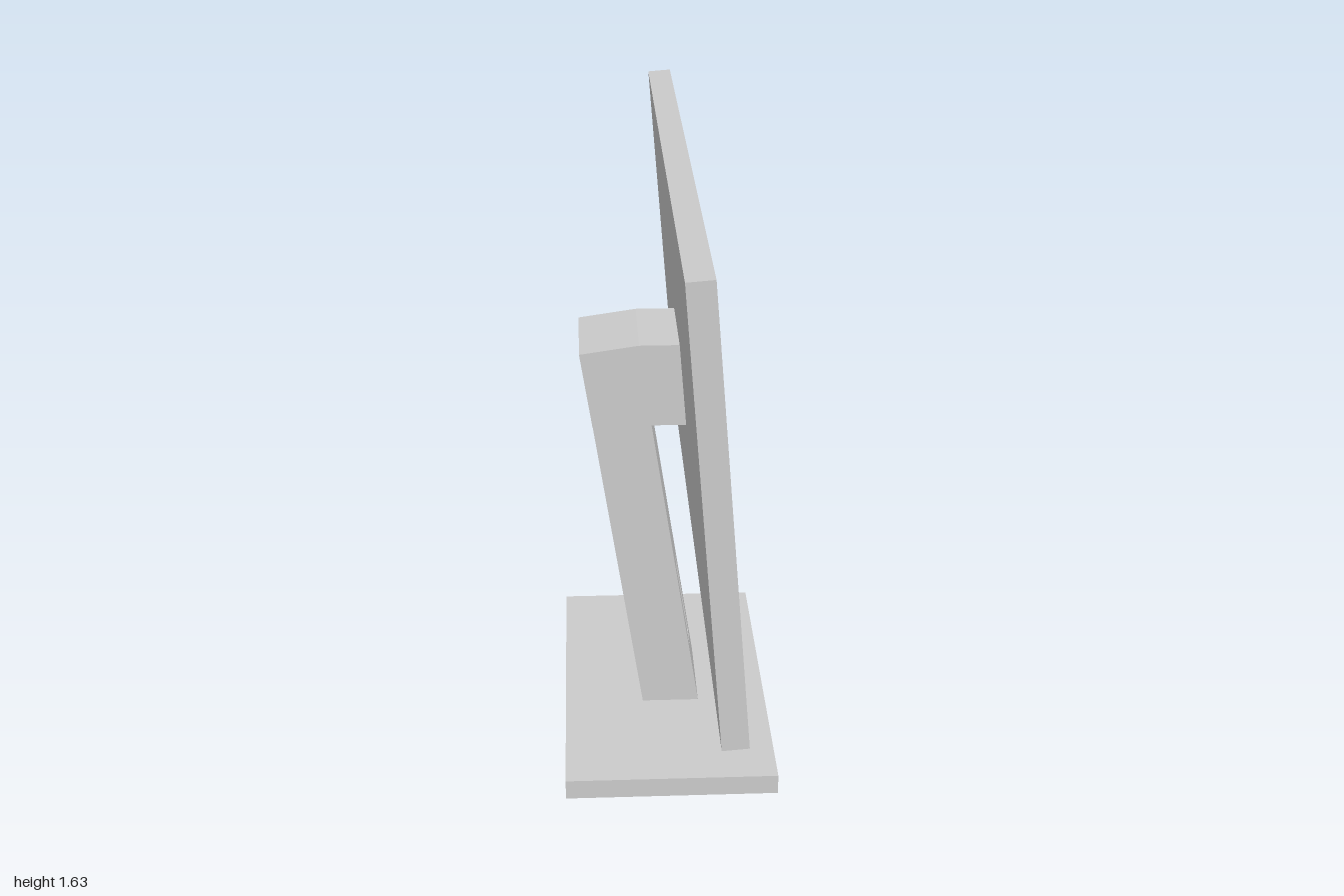
import * as THREE from 'three';

const grey = new THREE.MeshStandardMaterial({ color: 0xcccccc, flatShading: true });
const black = new THREE.MeshStandardMaterial({ color: 0x050505 });

function part(name, geometry, material = grey) {
  const mesh = new THREE.Mesh(geometry, material);
  mesh.name = name;
  return mesh;
}

const rectPoints = (x0, x1, y0, y1) =>
  [[x0, y0], [x1, y0], [x1, y1], [x0, y1]].map(([x, y]) => new THREE.Vector2(x, y));

// Rectangular plate with a rectangular opening, extruded towards +x
function plateWithOpening(outer, inner, depth) {
  const shape = new THREE.Shape(rectPoints(...outer));
  shape.holes.push(new THREE.Path(rectPoints(...inner).reverse()));
  return new THREE.ExtrudeGeometry(shape, { depth, bevelEnabled: false }).rotateY(Math.PI / 2);
}

export function createModel() {
  const model = new THREE.Group();
  const baseTop = 0.055, legTop = 0.92, halfWidth = 0.143;

  // Foot plate, set slightly to one side of the leg
  const base = part('base', new THREE.BoxGeometry(0.573, baseTop, 1.022));
  base.position.set(0, baseTop / 2, 0.026);
  model.add(base);

  // Leaning leg with the cable slot
  const thickness = 0.159, lean = 0.152;
  const leg = plateWithOpening(
    [-halfWidth, halfWidth, baseTop, legTop], [-0.05, 0.05, 0.18, 0.435], thickness);
  const pos = leg.attributes.position;
  for (let i = 0; i < pos.count; i++) {
    // the slot drops a little towards the back
    const inSlot = Math.abs(pos.getZ(i)) < 0.1;
    const y = pos.getY(i) - (inSlot ? 0.095 * (thickness - pos.getX(i)) : 0);
    pos.setXYZ(i, pos.getX(i) - 0.065 - lean * (y - baseTop), y, pos.getZ(i));
  }
  leg.computeVertexNormals();
  model.add(part('standLeg', leg));

  // Head of the stand, reaching forward to the panel
  const head = new THREE.Shape([
    [-0.197, legTop], [0.056, legTop], [0.038, 1.15], [-0.07, 1.15], [-0.229, 1.127],
  ].map(([x, y]) => new THREE.Vector2(x, y)));
  const headGeometry = new THREE.ExtrudeGeometry(head, { depth: 2 * halfWidth, bevelEnabled: false });
  model.add(part('standHead', headGeometry.translate(0, 0, -halfWidth)));

  // Tilted panel: back shell, raised bezel and recessed screen
  const panel = new THREE.Group();
  panel.name = 'panel';
  const halfHeight = 0.588, depth = 0.067, recess = 0.015;
  const [low, high, side] = [-0.518, 0.549, 0.967];

  const shell = part('backShell', new THREE.BoxGeometry(depth - recess, 2 * halfHeight, 2));
  shell.position.x = -recess / 2;

  const bezel = part('bezel', plateWithOpening(
    [-1, 1, -halfHeight, halfHeight], [-side, side, low, high], recess));
  bezel.position.x = depth / 2 - recess;

  const screen = part('screen',
    new THREE.PlaneGeometry(2 * side, high - low).rotateY(Math.PI / 2), black);
  screen.position.set(depth / 2 - recess + 0.001, (low + high) / 2, 0);

  panel.add(shell, bezel, screen);
  panel.position.set(0.08, 1.0375, 0);
  panel.rotation.z = 0.0792;
  model.add(panel);

  return model;
}
